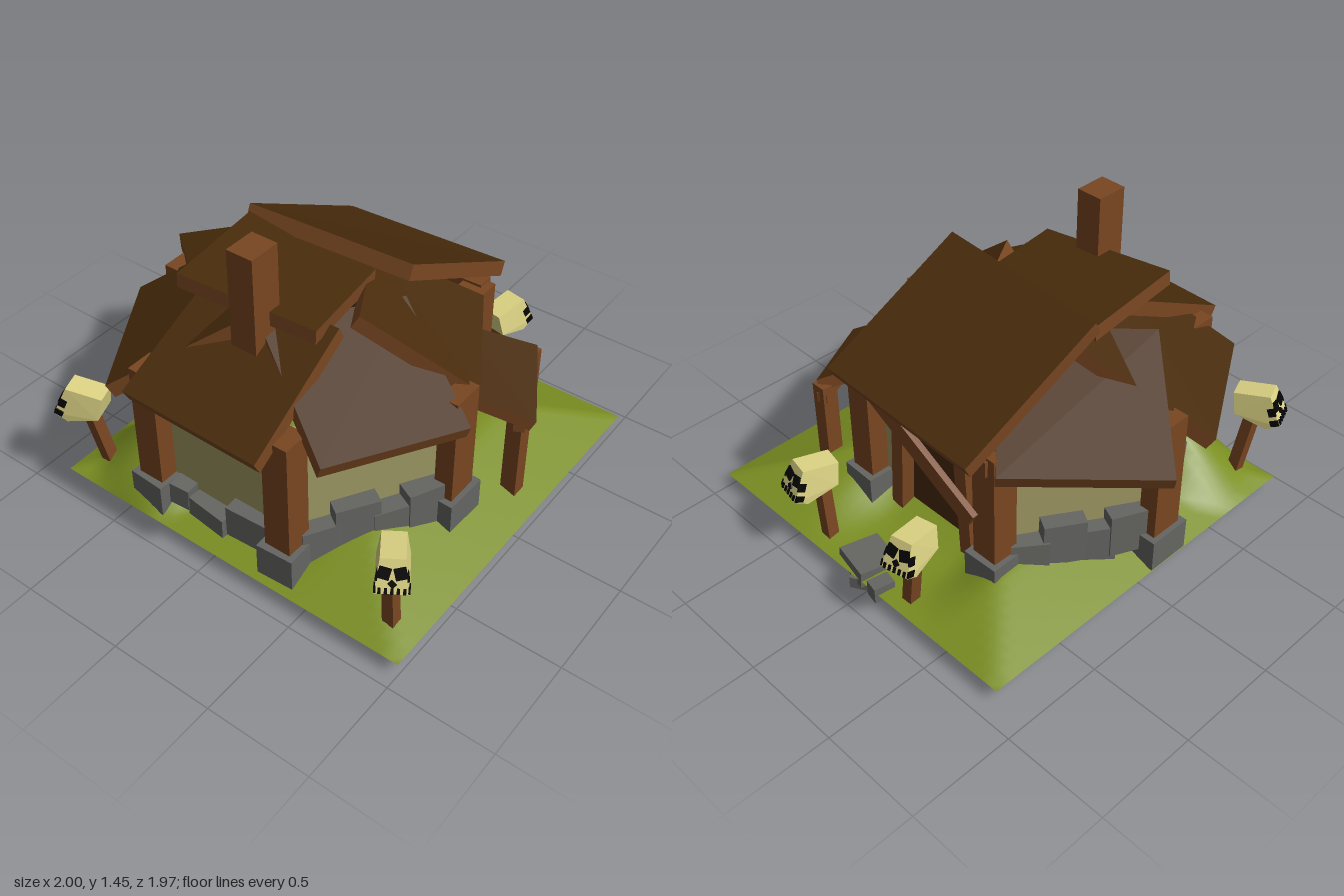
import * as THREE from 'three';

const mat = (name, color) => Object.assign(new THREE.MeshStandardMaterial({ color, flatShading: true }), { name });

export function createModel() {
  const root = new THREE.Group();
  const timber = mat('timber', 0x784621);
  const shingle = mat('roofBoards', 0x482b0b);
  const plaster = mat('plaster', 0x9f9964);
  const stone = mat('stone', 0x656562);
  const bone = mat('bone', 0xdcd384);
  const black = mat('black', 0x050505);
  const grass = mat('grass', 0x7b8f22);
  grass.flatShading = false;
  grass.side = THREE.DoubleSide;

  let seed = 7;
  const rnd = (a, b) => {
    seed = (seed * 16807) % 2147483647;
    return a + (b - a) * (seed / 2147483647);
  };
  const box = (name, m, w, h, d, x, y, z, ry = 0, rx = 0, rz = 0, parent = root) => {
    const mesh = new THREE.Mesh(new THREE.BoxGeometry(w, h, d), m);
    mesh.name = name;
    mesh.position.set(x, y, z);
    mesh.rotation.set(rx, ry, rz, 'YXZ');
    parent.add(mesh);
    return mesh;
  };

  // Slab from four top corners, thickened along its normal; dark top, timber edges
  const slab = (name, corners, t = 0.07) => {
    const top = corners.map(c => new THREE.Vector3(...c));
    const normal = () => top[2].clone().sub(top[0]).cross(top[3].clone().sub(top[1])).normalize();
    let n = normal();
    if (n.y < 0) { top.reverse(); n = normal(); }
    const low = top.map(p => p.clone().addScaledVector(n, -t));
    const pts = [];
    const quad = (a, b, c, d) => [a, b, c, a, c, d].forEach(p => pts.push(p));
    quad(...top);
    quad(low[3], low[2], low[1], low[0]);
    for (let i = 0; i < 4; i++) {
      const j = (i + 1) % 4;
      quad(top[i], low[i], low[j], top[j]);
    }
    const g = new THREE.BufferGeometry().setFromPoints(pts);
    g.computeVertexNormals();
    g.addGroup(0, 6, 0);
    g.addGroup(6, 30, 1);
    const mesh = new THREE.Mesh(g, [shingle, timber]);
    mesh.name = name;
    root.add(mesh);
  };

  // Ground: flat rim rising toward the house, with a tall mound against one wall
  const smooth = THREE.MathUtils.smoothstep;
  const groundY = (x, z) => {
    const edge = Math.min(x + 0.84, 1 - x, z + 0.91, 0.93 - z);
    const path = smooth(-z, 0.2, 0.6) * (1 - smooth(Math.abs(x), 0.2, 0.5));
    const front = smooth(z, 0.5, 0.8) * (1 - smooth(Math.abs(x), 0.25, 0.5));
    const base = 0.07 + Math.min(1, edge / 0.4) * 0.15 * (1 - 0.8 * path) * (1 - 0.4 * front);
    const mound = 0.39 - 0.9 * Math.hypot(x + 0.48, (z - 0.64) * 1.1);
    return edge < 0.01 ? 0.07 : Math.max(base, mound);
  };
  const groundGeo = new THREE.PlaneGeometry(1.84, 1.84, 40, 40).rotateX(-Math.PI / 2).translate(0.08, 0, 0.01);
  const gp = groundGeo.attributes.position;
  for (let i = 0; i < gp.count; i++) gp.setY(i, groundY(gp.getX(i), gp.getZ(i)));
  groundGeo.computeVertexNormals();
  const ground = new THREE.Mesh(groundGeo, grass);
  ground.name = 'ground';
  root.add(ground);

  // Six corner posts on stone footings
  const corners = [[-0.37, 0.8], [0.34, 0.8], [0.74, 0.16], [0.4, -0.49], [-0.4, -0.49], [-0.77, 0.15]];
  const footY = [0.165, 0.165, 0.21, 0.18, 0.18, 0.155];
  corners.forEach(([x, z], i) => {
    const [w, d] = i % 3 === 2 ? [0.09, 0.16] : [0.13, 0.13];
    box('cornerPost', timber, w, 0.73, d, x, 0.465, z);
    box('postFooting', stone, w + 0.05, 0.16, d + 0.06, x, footY[i], z, rnd(-0.06, 0.06));
  });

  // Plaster walls on five sides, rough stones along the foot of the slanted ones
  corners.forEach(([ax, az], i) => {
    if (i === 3) return;
    const [bx, bz] = corners[(i + 1) % 6];
    const dx = bx - ax, dz = bz - az, len = Math.hypot(dx, dz), yaw = Math.atan2(-dz, dx);
    const nx = -dz / len, nz = dx / len;
    box('wall', plaster, len, 0.7, 0.04, (ax + bx) / 2 - nx * 0.045, 0.46, (az + bz) / 2 - nz * 0.045, yaw);
    if (i === 0) return;
    [0.3, 0.38, 0.31, 0.37].forEach((top, k) => {
      const t = 0.2 + k * 0.2, s = rnd(-0.015, 0.015);
      box('wallStone', stone, rnd(0.16, 0.21), 0.22, rnd(0.09, 0.12),
        ax + dx * t + nx * s, top - 0.11, az + dz * t + nz * s, yaw + rnd(-0.12, 0.12), 0, rnd(-0.05, 0.05));
    });
  });
  box('wallStone', stone, 0.1, 0.11, 0.1, -0.23, 0.195, 0.8, 0.1, 0, -0.05);
  box('wallStone', stone, 0.21, 0.1, 0.1, -0.07, 0.16, 0.8, -0.1, 0, -0.03);
  box('wallStone', stone, 0.26, 0.16, 0.1, 0.17, 0.21, 0.79, 0.05);

  // Entrance at the back: recessed boards, jambs, lintel and a fallen plank
  box('doorBoards', shingle, 0.46, 0.72, 0.03, 0, 0.45, -0.42);
  for (const s of [-1, 1]) {
    box('entranceWall', plaster, 0.14, 0.7, 0.04, s * 0.29, 0.46, -0.44);
    box('doorJamb', timber, 0.07, 0.72, 0.09, s * 0.21, 0.45, -0.46, 0, 0, s * 0.06);
  }
  box('lintel', timber, 0.86, 0.08, 0.08, 0, 0.79, -0.53, 0, 0, 0.03);
  box('leaningPlank', timber, 0.72, 0.09, 0.03, -0.03, 0.62, -0.57, 0, 0, 0.5);

  // Roof slabs, lower corners first
  slab('frontRoof', [[-0.37, 0.81, 0.97], [0.34, 0.81, 0.98], [0.31, 1.1, 0.4], [-0.35, 1.1, 0.4]]);
  slab('frontRightRoof', [[-0.91, 0.71, 0.31], [-0.54, 0.71, 0.91], [-0.06, 1.08, 0.6], [-0.42, 1.08, 0]]);
  slab('frontLeftRoof', [[0.56, 0.82, 0.85], [0.87, 0.78, 0.27], [0.33, 1.01, -0.04], [0.02, 1.06, 0.54]]);
  slab('backRightRoof', [[-1, 0.77, -0.06], [-0.51, 0.8, -0.59], [-0.03, 1.06, -0.12], [-0.5, 1.03, 0.39]]);
  slab('backLeftRoof', [[0.79, 0.8, 0.08], [0.47, 0.83, -0.45], [0.08, 1.09, -0.15], [0.35, 1.13, 0.32]]);
  slab('ridgeRoof', [[-0.38, 1.18, 0.59], [0.28, 1.14, 0.51], [0.22, 1.14, 0.03], [-0.44, 1.18, 0.05]]);
  slab('backRoof', [[-0.42, 0.84, -0.67], [0.44, 0.88, -0.67], [0.42, 1.26, 0.05], [-0.45, 1.21, 0.04]]);
  box('chimney', timber, 0.13, 0.5, 0.155, 0, 1.2, 0.55);

  // Side lean-to
  slab('porchRoof', [[0.95, 0.56, -0.14], [0.71, 0.6, -0.55], [0.45, 0.75, -0.31], [0.7, 0.7, 0.03]], 0.06);
  box('porchPost', timber, 0.075, 0.5, 0.075, 0.86, 0.3, -0.15);
  box('porchPost', timber, 0.075, 0.42, 0.08, 0.69, 0.37, -0.52);
  box('porchBeam', timber, 0.05, 0.05, 0.5, 0.78, 0.52, -0.33, 0.45);

  // Stepping stones, some sunk in the soil
  box('steppingStone', stone, 0.2, 0.08, 0.19, 0.085, 0.07, -0.8, -0.2, 0.06);
  box('steppingStone', stone, 0.07, 0.08, 0.1, -0.08, 0.07, -0.87, -0.2);
  box('steppingStone', stone, 0.14, 0.07, 0.12, -0.06, 0.05, -0.63, 0.3);
  box('buriedStone', stone, 0.16, 0.05, 0.12, 0.2, 0.045, -0.74, 0.2);
  box('buriedStone', stone, 0.14, 0.06, 0.12, 0.04, 0.03, -0.84, 0.5);
  box('buriedStone', stone, 0.13, 0.05, 0.12, -0.06, 0.045, -0.74, -0.4);
  box('buriedStone', stone, 0.16, 0.05, 0.17, -0.12, 0.045, 0.77);

  // Skulls on stakes: side profile extruded across, narrowed toward the crown
  const profile = [[-0.12, 0.06], [0.05, 0.085], [0.11, -0.05], [0.05, -0.085], [-0.1, -0.045]];
  const skullGeo = new THREE.ExtrudeGeometry(new THREE.Shape(profile.map(p => new THREE.Vector2(...p))),
    { depth: 0.14, bevelEnabled: false });
  skullGeo.translate(0, 0, -0.07).rotateY(-Math.PI / 2);
  const sp = skullGeo.attributes.position;
  for (let i = 0; i < sp.count; i++) if (sp.getY(i) > 0) sp.setX(i, sp.getX(i) * 0.74);
  skullGeo.computeVertexNormals();

  const skullStake = (x, y, z, yaw, baseX, baseZ, baseY, topX, topZ) => {
    const g = new THREE.Group();
    g.name = 'skull';
    g.position.set(x, y, z);
    g.rotation.y = yaw;
    const head = new THREE.Mesh(skullGeo, bone);
    head.name = 'cranium';
    g.add(head);
    const face = new THREE.Group();
    face.name = 'face';
    face.position.set(0, 0.0175, 0.082);
    face.rotation.x = -0.42;
    g.add(face);
    for (const s of [-1, 1]) {
      box('eye', black, 0.05, 0.05, 0.009, s * 0.033, 0.015, 0, 0, 0, s * 0.25, face);
      box('templeHollow', black, 0.009, 0.04, 0.035, s * 0.061, 0.0, -0.017, 0, 0, s * 0.15, face);
      box('cheekHollow', black, 0.009, 0.03, 0.04, s * 0.068, -0.055, -0.02, 0, 0, 0, face);
    }
    box('nose', black, 0.024, 0.028, 0.009, 0, -0.03, 0, 0, 0, 0.78, face);
    for (let k = -2; k <= 2; k++) {
      box('toothGap', black, 0.012, 0.024, 0.009, k * 0.025, -0.06, 0, 0, 0, 0, face);
    }
    root.add(g);
    // Leaning stake from the ground to the skull
    const a = new THREE.Vector3(baseX, baseY, baseZ), b = new THREE.Vector3(topX, y - 0.03, topZ);
    const dir = b.clone().sub(a);
    const mid = a.clone().add(b).multiplyScalar(0.5);
    const stake = box('stake', timber, 0.055, dir.length(), 0.055, mid.x, mid.y, mid.z);
    stake.quaternion.setFromUnitVectors(new THREE.Vector3(0, 1, 0), dir.normalize());
  };
  skullStake(0.37, 0.43, -0.87, Math.PI - 0.2, 0.33, -0.82, 0.07, 0.36, -0.82);
  skullStake(-0.27, 0.43, -0.85, Math.PI + 0.2, -0.22, -0.82, 0.07, -0.26, -0.82);
  skullStake(-0.75, 0.5, 0.87, -1.2, -0.7, 0.8, 0.13, -0.73, 0.86);
  skullStake(0.86, 0.43, 0.78, 0.58, 0.87, 0.79, 0.06, 0.85, 0.78);

  return root;
}
